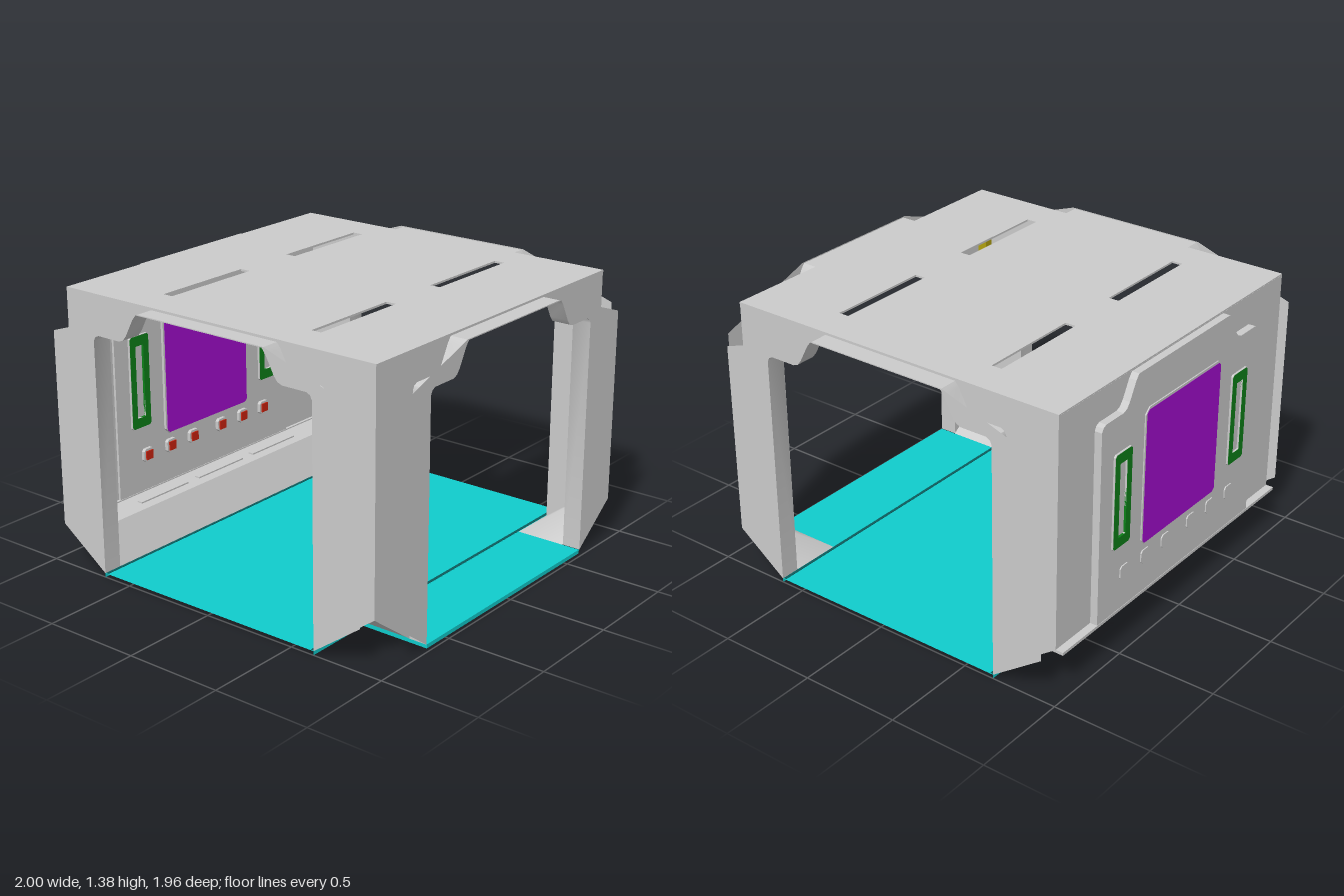
import * as THREE from 'three';
import { toCreasedNormals } from 'three/addons/utils/BufferGeometryUtils.js';

const material = (color) => new THREE.MeshStandardMaterial({ color, side: THREE.DoubleSide });
const GREY = material(0xcccccc), TEAL = material(0x10cccc), DARK = material(0x0a5c5c);
const PURPLE = material(0xa40cd0), GREEN = material(0x0c8018), RED = material(0xcc2410), YELLOW = material(0xb0a010);

function add(parent, name, geometry, mat = GREY, x = 0, y = 0, z = 0) {
  const mesh = new THREE.Mesh(geometry, mat);
  mesh.name = name;
  mesh.position.set(x, y, z);
  parent.add(mesh);
  return mesh;
}

const box = (w, h, d) => new THREE.BoxGeometry(w, h, d);
const shapeOf = (pts) => new THREE.Shape(pts.map(([x, y]) => new THREE.Vector2(x, y)));
const extrude = (shape, depth) => new THREE.ExtrudeGeometry(shape, { depth, bevelEnabled: false, curveSegments: 4 });

// Rectangle with cut corners, centred on a point
function panelShape(cx, cy, w, h, c) {
  const a = w / 2, b = h / 2;
  return shapeOf([[-a + c, -b], [a - c, -b], [a, -b + c], [a, b - c], [a - c, b], [-a + c, b], [-a, b - c], [-a, -b + c]]
    .map(([x, y]) => [x + cx, y + cy]));
}

// Upright frame with an opening
function frameShape(cx, cy, w, h) {
  const frame = panelShape(cx, cy, w, h, 0.01);
  frame.holes.push(panelShape(cx, cy, 0.055, 0.375, 0.002));
  return frame;
}

// Strip of faces joining two rows of points
function sheet(rowA, rowB) {
  const pos = [];
  for (let i = 0; i < rowA.length - 1; i++) {
    pos.push(...rowA[i], ...rowA[i + 1], ...rowB[i + 1], ...rowA[i], ...rowB[i + 1], ...rowB[i]);
  }
  const g = new THREE.BufferGeometry();
  g.setAttribute('position', new THREE.Float32BufferAttribute(pos, 3));
  return toCreasedNormals(g, 0.5);
}

// Outline of a doorway from its right foot over the top to its left foot
function doorway(centre, half, foot) {
  const side = [[half, foot], [half, 1.19], [half - 0.01, 1.21], [half - 0.03, 1.22],
    [0.48, 1.22], [0.455, 1.23], [0.435, 1.255], [0.39, 1.34], [0.37, 1.365]];
  const mirrored = side.map(([u, y]) => [-u, y]).reverse();
  return [...side, ...mirrored].map(([u, y]) => [u + centre, y]);
}

// Wall with a doorway, a sleeve standing out from it and a face plate with cut corners on the lip
function addPortal(parent, name, centre, half, lo, hi, wallAt, lipAt) {
  const portal = new THREE.Group();
  portal.name = name;
  const arch = doorway(centre, half, 0.02);
  const wall = shapeOf([...arch, [lo, 0.21], [lo, 1.37], [hi, 1.37], [hi, 0.21]]);
  const plate = shapeOf([...arch, [lo, 0.21], [lo, 1.19], [centre - 0.38, 1.37], [centre + 0.38, 1.37], [hi, 1.19], [hi, 0.21]]);
  add(portal, 'archWall', new THREE.ShapeGeometry(wall), GREY, 0, 0, wallAt);
  add(portal, 'facePlate', new THREE.ShapeGeometry(plate), GREY, 0, 0, lipAt);
  add(portal, 'doorSleeve', sheet(arch.map(([u, y]) => [u, y, wallAt]), arch.map(([u, y]) => [u, y, lipAt])));
  parent.add(portal);
  return portal;
}

export function createModel() {
  const model = new THREE.Group();
  model.name = 'roomModule';

  // Roof with four slots
  const roof = shapeOf([[-0.9, -0.887], [0.9, -0.887], [0.9, 0.93], [-0.9, 0.93]]);
  for (const x of [-0.44, 0.44]) for (const z of [-0.4625, 0.415]) {
    roof.holes.push(shapeOf([[x - 0.27, -z - 0.027], [x - 0.27, -z + 0.027], [x + 0.27, -z + 0.027], [x + 0.27, -z - 0.027]]));
  }
  add(model, 'roof', extrude(roof, 0.01), GREY, 0, 1.367, 0).rotation.x = -Math.PI / 2;

  // Three doorways
  addPortal(model, 'frontDoorway', 0, 0.643, -0.9, 0.9, 0.885, 0.98);
  for (const s of [1, -1]) {
    const side = addPortal(model, s > 0 ? 'leftDoorway' : 'rightDoorway', -0.017, 0.643, -0.925, 0.885, -s * 0.9, -s);
    side.rotation.y = -Math.PI / 2;

    // Undercut foot of the front corner post
    const a = [s * 0.64, 0.02, 0.885], p = [s * 0.9, 0.21, 0.885];
    const inner = [s * 0.64, 0.02, 0.626], b = [s * 0.9, 0.02, 0.626];
    const foot = new THREE.BufferGeometry();
    foot.setAttribute('position', new THREE.Float32BufferAttribute(
      s > 0 ? [...a, ...inner, ...p, ...inner, ...b, ...p] : [...a, ...p, ...inner, ...inner, ...p, ...b], 3));
    add(model, 'cornerFoot', toCreasedNormals(foot, 1.6));

    // Small corner lamps inside
    for (const z of [0.84, -0.87]) add(model, 'cornerLamp', box(0.05, 0.4, 0.05), YELLOW, s * 0.865, 0.97, z);
  }

  // Back wall with a ledge and a sloping base
  add(model, 'backWall', box(1.8, 1.17, 0.015), GREY, 0, 0.785, -0.923);
  add(model, 'backLedge', box(1.8, 0.015, 0.07), GREY, 0, 0.208, -0.935);
  const base = (x) => [[x, 0.21, -0.93], [x, 0.205, -0.75], [x, 0.02, -0.66]];
  add(model, 'backBase', sheet(base(-0.9), base(0.9)));
  for (const x of [-0.42, 0, 0.42]) add(model, 'baseVent', box(0.34, 0.008, 0.03), GREY, x, 0.21, -0.82);

  // Console, showing on both faces of the back wall
  const consoleGroup = new THREE.Group();
  consoleGroup.name = 'console';
  model.add(consoleGroup);
  add(consoleGroup, 'consolePanel', extrude(shapeOf(doorway(0, 0.64, 0.215)), 0.065), GREY, 0, 0, -0.968);
  add(consoleGroup, 'screenFrame', extrude(panelShape(0, 0.82, 0.625, 0.7, 0.03), 0.085), GREY, 0, 0, -0.974);
  add(consoleGroup, 'screen', extrude(panelShape(0, 0.818, 0.605, 0.68, 0.015), 0.088), PURPLE, 0, 0, -0.975);
  for (const x of [-0.48, 0.48]) {
    add(consoleGroup, 'sideFrameRim', extrude(frameShape(x, 0.8, 0.132, 0.482), 0.087), GREY, 0, 0, -0.978);
    add(consoleGroup, 'sideFrame', extrude(frameShape(x, 0.8, 0.128, 0.478), 0.089), GREEN, 0, 0, -0.979);
  }
  for (const x of [-0.445, -0.277, -0.11, 0.105, 0.273, 0.44]) {
    add(consoleGroup, 'buttonFrame', extrude(panelShape(x, 0.405, 0.068, 0.068, 0.012), 0.089), GREY, 0, 0, -0.974);
    add(consoleGroup, 'button', box(0.046, 0.046, 0.012), RED, x, 0.405, -0.884);
  }

  // Floor plate, its edge strips and the front step
  add(model, 'floor', new THREE.PlaneGeometry(2, 1.286), TEAL, 0, 0.02, -0.017).rotation.x = -Math.PI / 2;
  for (const z of [0.626, -0.66]) {
    add(model, 'floorEdge', new THREE.PlaneGeometry(2, 0.02), TEAL, 0, 0.01, z);
    add(model, 'floorSeam', box(1.99, 0.003, 0.014), DARK, 0, 0.021, z + (z > 0 ? -0.01 : 0.01));
  }
  add(model, 'frontStep', box(1.28, 0.02, 0.352), TEAL, 0, 0.01, 0.803);
  return model;
}
